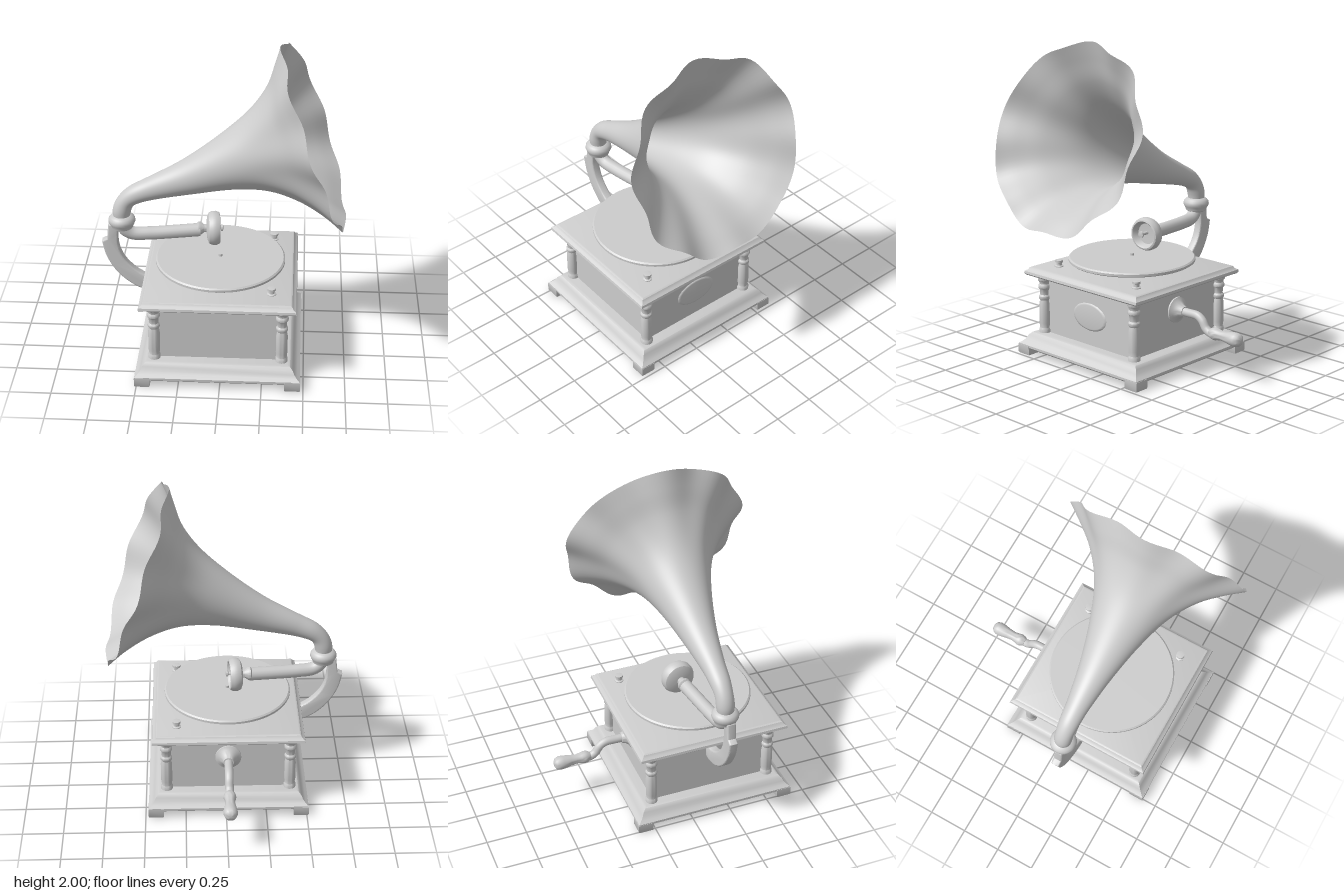
import * as THREE from 'three';
import { toCreasedNormals } from 'three/addons/utils/BufferGeometryUtils.js';

const CX = -0.015, CZ = 0.15; // centre of the cabinet
const HZ = 0.145;             // plane of the horn
const V = (x, y, z) => new THREE.Vector3(x, y, z);

export function createModel() {
  const model = new THREE.Group();
  const grey = new THREE.MeshStandardMaterial({ color: 0xcccccc, side: THREE.DoubleSide });
  grey.name = 'plain grey';

  const add = (name, geometry, x = 0, y = 0, z = 0) => {
    const mesh = new THREE.Mesh(geometry, grey);
    mesh.name = name;
    mesh.position.set(x, y, z);
    model.add(mesh);
    return mesh;
  };
  // turned part: profile of [radius, height], from the bottom up
  const turned = (profile, sides = 32) => toCreasedNormals(
    new THREE.LatheGeometry(profile.map(([r, h]) => new THREE.Vector2(r, h)), sides), 0.7);
  // square moulding: profile of [half width, height]
  const moulding = (profile, depthRatio) => {
    const g = new THREE.LatheGeometry(profile.map(([r, h]) => new THREE.Vector2(r * Math.SQRT2, h)), 4);
    g.rotateY(Math.PI / 4);
    g.scale(1, 1, depthRatio);
    return toCreasedNormals(g, 0.5);
  };
  const tube = (points, radius, segments = 40) =>
    new THREE.TubeGeometry(new THREE.CatmullRomCurve3(points), segments, radius, 16);

  // cabinet
  add('basePlinth', moulding([[0, 0.04], [0.485, 0.04], [0.495, 0.05], [0.495, 0.065], [0.478, 0.078],
    [0.462, 0.095], [0.452, 0.118], [0.435, 0.135], [0.42, 0.14], [0, 0.14]], 1.025), CX, 0, CZ);
  add('cabinetBody', new THREE.BoxGeometry(0.745, 0.39, 0.755), CX, 0.32, CZ);
  add('lid', moulding([[0, 0.49], [0.41, 0.49], [0.425, 0.505], [0.455, 0.51], [0.466, 0.52], [0.463, 0.535],
    [0.448, 0.545], [0.44, 0.558], [0.43, 0.563], [0, 0.565]], 1.03), CX, 0, CZ);

  // corner columns and feet
  const column = turned([[0.037, 0.13], [0.037, 0.16], [0.031, 0.17], [0.035, 0.2], [0.035, 0.32], [0.029, 0.35],
    [0.036, 0.36], [0.036, 0.375], [0.028, 0.385], [0.03, 0.42], [0.038, 0.43], [0.038, 0.445],
    [0.031, 0.455], [0.033, 0.47], [0.041, 0.48], [0.041, 0.5]], 24);
  const foot = moulding([[0, 0], [0.043, 0], [0.047, 0.008], [0.047, 0.06], [0, 0.06]], 1);
  for (const sx of [-1, 1]) for (const sz of [-1, 1]) {
    add('cornerColumn', column, CX + sx * 0.382, 0, CZ + sz * 0.385);
    add('foot', foot, CX + sx * 0.45, 0, CZ + sz * 0.463);
  }

  // oval medallion on the left side panel
  const medallion = turned([[0, 0], [0.14, 0], [0.135, 0.005], [0.12, 0.007], [0, 0.007]], 40);
  medallion.scale(0.62, 1, 1);
  medallion.rotateZ(-Math.PI / 2);
  add('medallion', medallion, 0.357, 0.32, HZ);

  // turntable
  add('platter', turned([[0, 0.602], [0.385, 0.602], [0.394, 0.608], [0.394, 0.622], [0.385, 0.63], [0, 0.63]], 64),
    -0.02, 0, CZ);
  add('spindle', new THREE.CylinderGeometry(0.012, 0.012, 0.09, 12), -0.02, 0.6, CZ);
  for (const z of [-0.19, 0.47])
    add('lidKnob', turned([[0.028, 0.56], [0.028, 0.568], [0.018, 0.573], [0.018, 0.588], [0.025, 0.592],
      [0.025, 0.605], [0, 0.608]], 16), 0.3, 0, z);

  // curved bracket that carries the horn
  const bracket = new THREE.Shape();
  bracket.moveTo(-0.37, 0.39);
  bracket.splineThru([[-0.44, 0.39], [-0.54, 0.425], [-0.64, 0.51], [-0.705, 0.62], [-0.73, 0.72]]
    .map(p => new THREE.Vector2(...p)));
  bracket.lineTo(-0.7, 0.735);
  bracket.lineTo(-0.69, 0.83);
  bracket.lineTo(-0.645, 0.83);
  bracket.splineThru([[-0.65, 0.71], [-0.62, 0.61], [-0.555, 0.53], [-0.48, 0.48], [-0.42, 0.465], [-0.37, 0.465]]
    .map(p => new THREE.Vector2(...p)));
  const bracketGeometry = new THREE.ExtrudeGeometry(bracket, {
    depth: 0.036, bevelEnabled: true, bevelSize: 0.009, bevelThickness: 0.009, bevelSegments: 3, curveSegments: 20 });
  add('hornBracket', toCreasedNormals(bracketGeometry, 0.7), 0, 0, HZ - 0.01);

  // collar between horn and tone arm
  add('collar', turned([[0, 0.805], [0.05, 0.805], [0.066, 0.815], [0.07, 0.83], [0.076, 0.84], [0.082, 0.855],
    [0.08, 0.872], [0.07, 0.885], [0.055, 0.895], [0, 0.9]]), -0.617, 0, HZ);

  // tone arm and sound box
  add('toneArm', tube([V(-0.615, 0.87, HZ), V(-0.605, 0.805, HZ), V(-0.56, 0.768, 0.138),
    V(-0.45, 0.76, 0.122), V(-0.3, 0.763, 0.1), V(-0.15, 0.768, 0.078)], 0.041));
  const soundBox = turned([[0, -0.06], [0.03, -0.06], [0.042, -0.05], [0.04, -0.035], [0.025, -0.015], [0.025, 0],
    [0.07, 0.004], [0.095, 0.015], [0.104, 0.035], [0.104, 0.06], [0.095, 0.08], [0.085, 0.083],
    [0.076, 0.072], [0.065, 0.045], [0, 0.04]], 40);
  soundBox.rotateZ(-Math.PI / 2);
  add('soundBox', soundBox, -0.11, 0.775, 0.07).rotation.y = 0.1;
  const pin = turned([[0.01, 0], [0.01, 0.05], [0.02, 0.055], [0.02, 0.065], [0, 0.07]], 12);
  pin.rotateZ(-Math.PI / 2);
  add('soundBoxPin', pin, -0.075, 0.78, 0.068);

  // horn: cross-sections hung between an upper and a lower edge, scalloped towards the rim
  const edges = [
    [-0.665, 0.86, -0.57, 0.86], [-0.67, 0.93, -0.56, 0.92], [-0.645, 1.0, -0.54, 0.965],
    [-0.58, 1.075, -0.49, 0.99], [-0.46, 1.145, -0.4, 1.015], [-0.25, 1.265, -0.18, 1.06],
    [0, 1.455, 0.08, 1.108], [0.15, 1.6, 0.28, 1.112], [0.25, 1.75, 0.46, 1.065],
    [0.298, 1.88, 0.61, 0.99], [0.335, 1.985, 0.725, 0.91]];
  const upper = new THREE.CatmullRomCurve3(edges.map(e => V(e[0], e[1], HZ)));
  const lower = new THREE.CatmullRomCurve3(edges.map(e => V(e[2], e[3], HZ)));
  const rings = 60, sides = 108, positions = [], index = [];
  for (let i = 0; i <= rings; i++) {
    const t = i / rings, a = upper.getPoint(t), b = lower.getPoint(t);
    const centre = a.clone().add(b).multiplyScalar(0.5);
    const up = a.clone().sub(b).multiplyScalar(0.5), radius = up.length();
    up.normalize();
    const forward = V(up.y, -up.x, 0);
    const flare = Math.max(0, (t - 0.6) / 0.4) ** 2;
    for (let j = 0; j < sides; j++) {
      const angle = j / sides * Math.PI * 2, wave = Math.cos(9 * angle) * flare;
      const r = radius + 0.015 * wave;
      const p = centre.clone().addScaledVector(up, r * Math.cos(angle))
        .addScaledVector(forward, flare * 0.02 * Math.sin(angle) ** 2 - 0.012 * wave);
      positions.push(p.x, p.y, p.z + r * Math.sin(angle));
      if (i < rings) {
        const k = i * sides + j, n = i * sides + (j + 1) % sides;
        index.push(k, n, k + sides, n, n + sides, k + sides);
      }
    }
  }
  const horn = new THREE.BufferGeometry();
  horn.setAttribute('position', new THREE.Float32BufferAttribute(positions, 3));
  horn.setIndex(index);
  horn.computeVertexNormals();
  add('horn', horn);

  // winding crank on the back
  const flange = turned([[0, 0], [0.08, 0], [0.08, 0.012], [0.06, 0.022], [0.04, 0.045], [0.032, 0.07], [0, 0.07]]);
  flange.rotateX(-Math.PI / 2);
  add('crankFlange', flange, CX, 0.362, -0.225);
  add('crankShaft', tube([V(CX, 0.362, -0.22), V(CX, 0.362, -0.32), V(CX, 0.36, -0.4), V(CX, 0.338, -0.435),
    V(CX, 0.295, -0.465), V(CX, 0.275, -0.5), V(CX, 0.275, -0.54)], 0.026));
  const grip = turned([[0, 0], [0.025, 0], [0.036, 0.02], [0.039, 0.04], [0.034, 0.06], [0.029, 0.09], [0.034, 0.13],
    [0.042, 0.175], [0.043, 0.2], [0.036, 0.222], [0.02, 0.234], [0, 0.237]], 24);
  grip.rotateX(-Math.PI / 2);
  add('crankHandle', grip, CX, 0.28, -0.5);

  return model;
}
